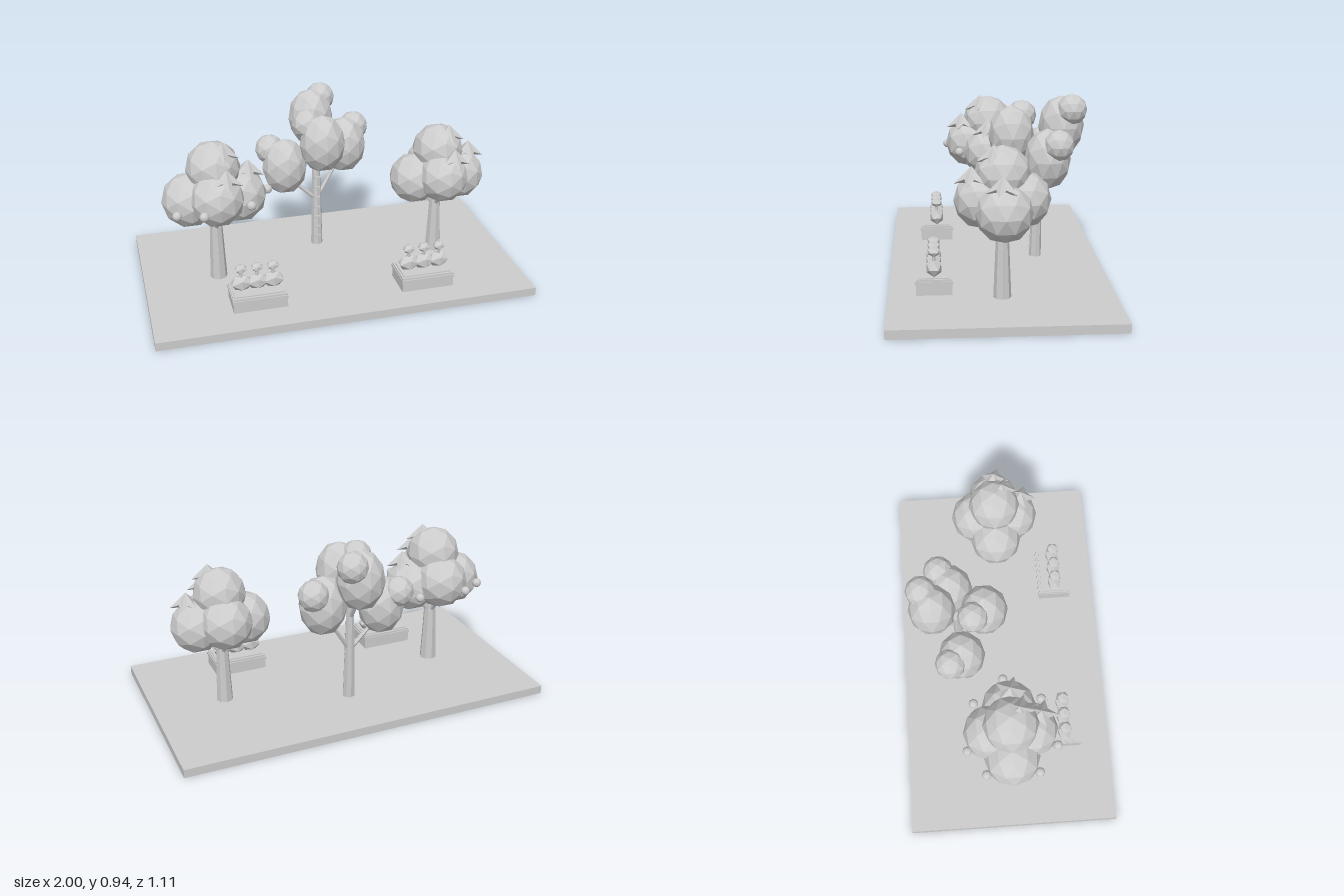
import * as THREE from 'three';

const plaster = new THREE.MeshStandardMaterial({ color: 0xcccccc, flatShading: true });
plaster.name = 'light grey';

function add(parent, name, geometry, x = 0, y = 0, z = 0) {
  const mesh = new THREE.Mesh(geometry, plaster);
  mesh.name = name;
  mesh.position.set(x, y, z);
  parent.add(mesh);
  return mesh;
}

// Faceted ball, stretched by its three radii
function blob(parent, name, [x, y, z], [rx, ry, rz], detail = 1) {
  const g = new THREE.IcosahedronGeometry(1, detail).scale(rx, ry, rz);
  return add(parent, name, g, x, y, z);
}

// Tapered limb between two points
function limb(parent, name, from, to, r0, r1, sides = 8) {
  const a = new THREE.Vector3(...from), b = new THREE.Vector3(...to);
  const dir = b.clone().sub(a);
  const mesh = add(parent, name, new THREE.CylinderGeometry(r1, r0, dir.length(), sides));
  mesh.position.copy(a).add(b).multiplyScalar(0.5);
  mesh.quaternion.setFromUnitVectors(new THREE.Vector3(0, 1, 0), dir.normalize());
  return mesh;
}

// Five-pointed star with a raised centre
function starGeometry(radius, height) {
  const g = new THREE.ConeGeometry(radius, height, 10, 1);
  const p = g.attributes.position;
  for (let i = 0; i < p.count; i++) {
    const x = p.getX(i), z = p.getZ(i);
    if (Math.hypot(x, z) < radius * 0.5) continue;
    const step = Math.round(Math.atan2(x, z) / (Math.PI / 5));
    if (step % 2 !== 0) p.setXYZ(i, x * 0.5, p.getY(i) + height * 0.3, z * 0.5);
  }
  return g;
}

// Round tree with star blossoms; origin at the trunk foot
function roundTree(name, withFruit) {
  const tree = new THREE.Group();
  tree.name = name;
  limb(tree, 'trunk', [0, 0, 0], [0, 0.48, 0], 0.046, 0.026);
  for (const s of [-1, 1]) {
    limb(tree, 'branch', [0, 0.28, 0], [s * 0.11, 0.42, 0], 0.014, 0.009, 6);
    limb(tree, 'branch', [0, 0.28, 0], [0, 0.42, s * 0.1], 0.014, 0.009, 6);
  }
  const clumps = [
    [-0.132, 0.475, 0], [0.132, 0.475, 0], [0, 0.51, 0.1], [0, 0.51, -0.1], [0, 0.64, 0],
  ];
  for (const c of clumps) blob(tree, 'foliage', c, [0.143, 0.145, 0.143]);
  for (const [x, y, z] of [[0.045, 0.755, 0.045], [0.18, 0.63, 0.01], [0.045, 0.65, 0.155]]) {
    add(tree, 'starBlossom', starGeometry(0.085, 0.085), x, y, z);
  }
  if (withFruit) {
    const spots = [[0.285, 0.475, -0.02], [0.165, 0.485, 0.17], [-0.085, 0.485, 0.235],
      [-0.21, 0.455, 0.135], [-0.21, 0.475, -0.135], [-0.085, 0.485, -0.225], [0.165, 0.47, -0.18]];
    for (const s of spots) blob(tree, 'fruit', s, [0.025, 0.025, 0.025]);
  }
  return tree;
}

// Tall tree with forked branches, egg-shaped foliage and pegs up the trunk
function tallTree() {
  const tree = new THREE.Group();
  tree.name = 'tallTree';
  limb(tree, 'trunk', [0, 0.045, -0.222], [0, 0.64, -0.235], 0.033, 0.02);
  const eggs = [
    { c: [-0.18, 0.545, -0.22], b: [-0.25, 0.63, -0.28] },
    { c: [0.165, 0.62, -0.265], b: [0.235, 0.705, -0.315] },
    { c: [0, 0.715, -0.09], b: [-0.07, 0.81, -0.15] },
    { c: [0, 0.765, -0.355], b: [0.065, 0.86, -0.402] },
  ];
  for (const { c, b } of eggs) {
    const start = c[1] > 0.7 ? 0.5 : 0.32;
    limb(tree, 'branch', [0, start, -0.228], [c[0] * 0.85, c[1] - 0.08, c[2]], 0.013, 0.009, 6);
    blob(tree, 'foliage', c, [0.124, 0.16, 0.122]);
    blob(tree, 'smallFoliage', b, [0.08, 0.082, 0.08]);
  }
  for (let i = 0; i < 7; i++) {
    add(tree, 'trunkPeg', new THREE.BoxGeometry(0.03, 0.01, 0.014), 0, 0.1 + i * 0.06, -0.195 - i * 0.002);
  }
  return tree;
}

// Planter box with a row of three shrubs, each carrying a flower head
function planter(name) {
  const group = new THREE.Group();
  group.name = name;
  add(group, 'box', new THREE.BoxGeometry(0.28, 0.08, 0.176), 0, 0.04, 0);
  add(group, 'rim', new THREE.BoxGeometry(0.288, 0.014, 0.188), 0, 0.063, 0);
  add(group, 'soil', new THREE.BoxGeometry(0.26, 0.012, 0.15), 0, 0.08, 0);
  for (const x of [-0.083, 0, 0.083]) {
    blob(group, 'shrub', [x, 0.123, 0], [0.06, 0.045, 0.042], 0);
    limb(group, 'stem', [x, 0.15, 0], [x, 0.2, 0], 0.008, 0.008, 6);
    blob(group, 'flowerHead', [x, 0.205, 0], [0.034, 0.025, 0.034], 0);
  }
  return group;
}

export function createModel() {
  const model = new THREE.Group();
  model.name = 'treeGarden';

  add(model, 'ground', new THREE.BoxGeometry(2, 0.045, 1.11), 0, 0.0225, 0);

  const fruitTree = roundTree('fruitTree', true);
  fruitTree.position.set(-0.602, 0.045, 0.003);
  const blossomTree = roundTree('blossomTree', false);
  blossomTree.position.set(0.62, 0.045, 0.002);
  blossomTree.scale.setScalar(0.957);
  model.add(fruitTree, blossomTree, tallTree());

  const rightPlanter = planter('rightPlanter');
  rightPlanter.position.set(-0.446, 0.045, 0.309);
  const leftPlanter = planter('leftPlanter');
  leftPlanter.position.set(0.444, 0.045, 0.33);
  model.add(rightPlanter, leftPlanter);

  return model;
}
